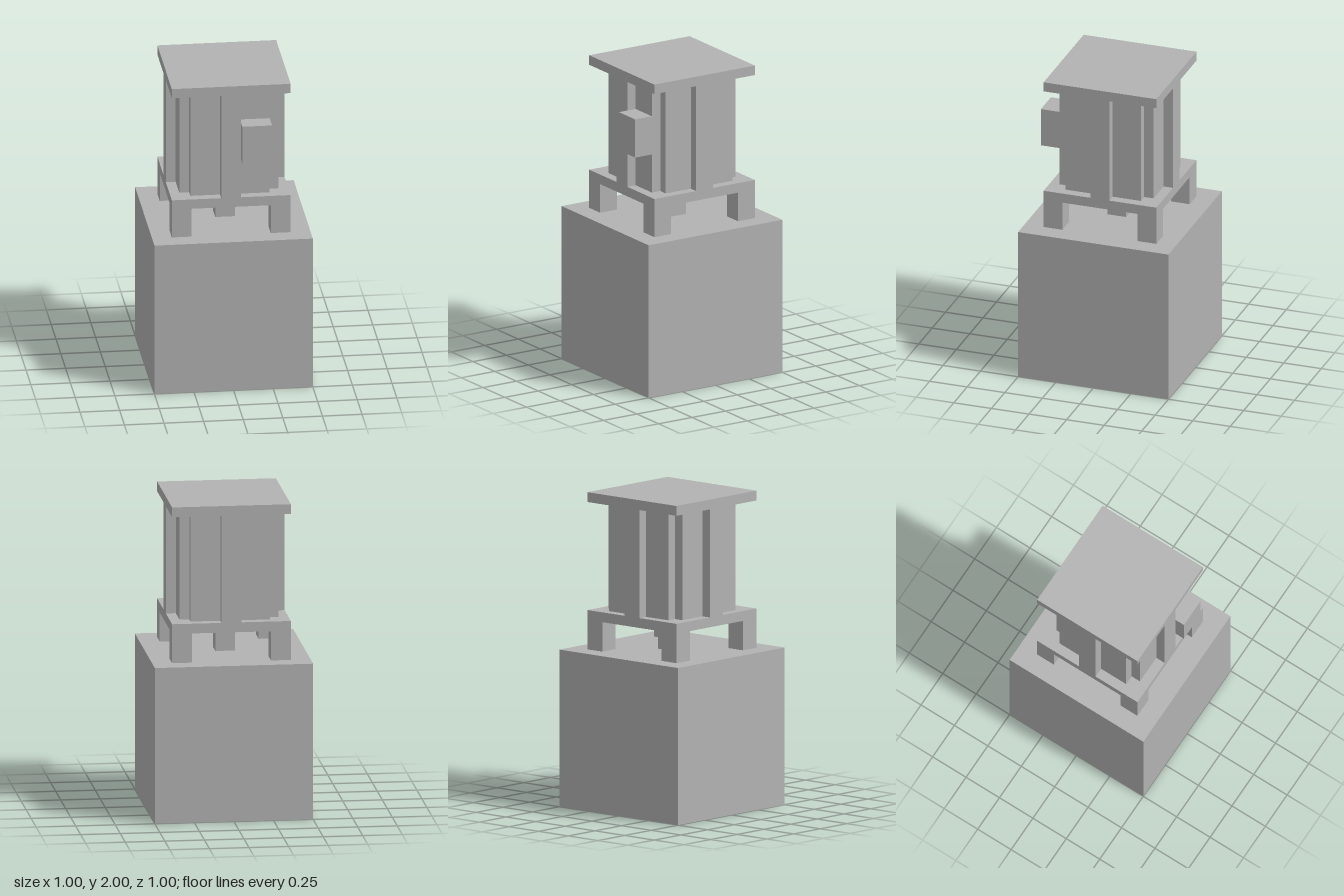
import * as THREE from 'three';

const U = 1 / 16; // the model sits on a sixteenth-unit grid

export function createModel() {
  const model = new THREE.Group();
  const stone = new THREE.MeshStandardMaterial({ color: 0xb2b2b2 });
  stone.name = 'stone grey';

  // Box given by its minimum and maximum corners in sixteenths
  function box(name, [x0, y0, z0], [x1, y1, z1]) {
    const geometry = new THREE.BoxGeometry((x1 - x0) * U, (y1 - y0) * U, (z1 - z0) * U);
    const mesh = new THREE.Mesh(geometry, stone);
    mesh.name = name;
    mesh.position.set(((x0 + x1) / 2) * U, ((y0 + y1) / 2) * U, ((z0 + z1) / 2) * U);
    model.add(mesh);
  }

  // Pedestal cube
  box('pedestal', [-8, 0, -8], [8, 16, 8]);

  // Four corner legs and the centre post
  for (const x of [-5, 5]) {
    for (const z of [-5, 5]) box('cornerLeg', [x - 1, 16, z - 1], [x + 1, 19, z + 1]);
  }
  box('centrePost', [-1, 16, -1], [1, 19, 1]);

  // Floor and roof slabs
  box('floorSlab', [-6, 19, -6], [6, 20, 6]);
  box('roofSlab', [-6, 31, -6], [6, 32, 6]);

  // Cabinet body with notched corners, made of two crossing blocks
  box('bodyAcross', [-5, 20, -4], [5, 31, 4]);
  box('bodyDeep', [-4, 20, -5], [4, 31, 5]);

  // Ribs in the middle of each wall
  for (const s of [-1, 1]) {
    const a = s * 5.5;
    box('sideRib', [a - 0.5, 20, -1], [a + 0.5, 31, 1]);
    box('endRib', [-1, 20, a - 0.5], [1, 31, a + 0.5]);
  }

  // Control box on the front
  box('controlBox', [1, 24, 5], [4, 28, 7]);

  return model;
}
